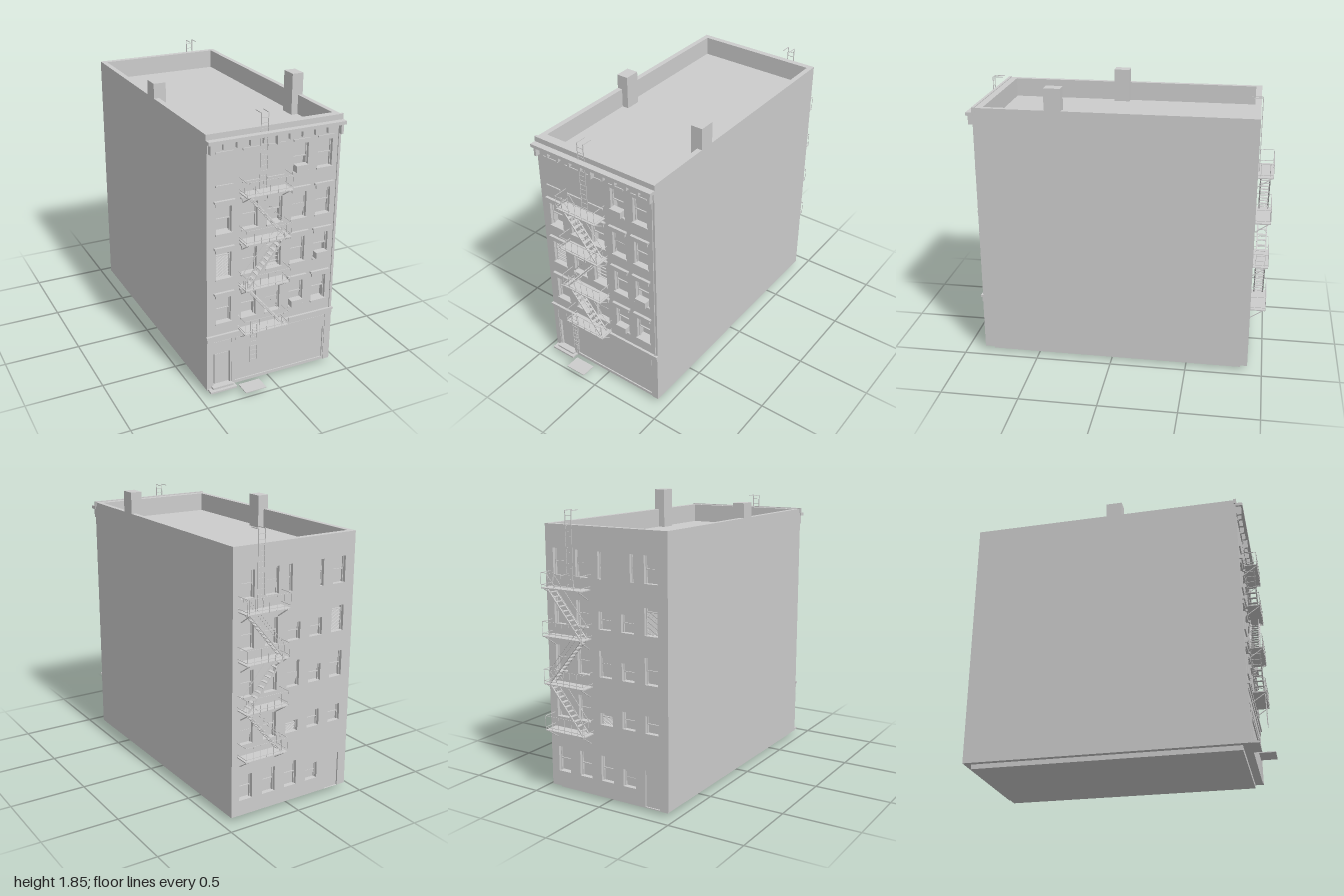
import * as THREE from 'three';

const stone = new THREE.MeshStandardMaterial({ color: 0xcccccc });
stone.name = 'light grey stone';

function box(parent, name, x0, x1, y0, y1, z0, z1) {
  const m = new THREE.Mesh(new THREE.BoxGeometry(x1 - x0, y1 - y0, z1 - z0), stone);
  m.position.set((x0 + x1) / 2, (y0 + y1) / 2, (z0 + z1) / 2);
  m.name = name;
  parent.add(m);
}

// square bar between two points
function bar(parent, name, a, b, t = 0.003) {
  const p = new THREE.Vector3(...a), q = new THREE.Vector3(...b);
  const m = new THREE.Mesh(new THREE.BoxGeometry(t, t, p.distanceTo(q)), stone);
  m.position.copy(p).add(q).multiplyScalar(0.5);
  m.lookAt(q);
  m.name = name;
  parent.add(m);
}

function group(parent, name) {
  const g = new THREE.Group();
  g.name = name;
  parent.add(g);
  return g;
}

// wall with openings; outer face at z = 0
function wall(parent, name, x0, x1, y0, y1, depth, holes) {
  const rect = (P, a, b, c, d) => new P().moveTo(a, c).lineTo(b, c).lineTo(b, d).lineTo(a, d).closePath();
  const shape = rect(THREE.Shape, x0, x1, y0, y1);
  for (const h of holes) shape.holes.push(rect(THREE.Path, ...h));
  const geo = new THREE.ExtrudeGeometry(shape, { depth, bevelEnabled: false });
  const m = new THREE.Mesh(geo, stone);
  m.position.z = -depth;
  m.name = name;
  parent.add(m);
}

// window types: 'sash', 'shade', 'open' (lower half raised), 'blind' (fine slats), 'louvre' (wide slats)
function sashWindow(parent, [x0, x1, y0, y1], kind) {
  const g = group(parent, 'window'), f = 0.005, mid = (y0 + y1) / 2, z = -0.02;
  box(g, 'windowFrameSide', x0, x0 + f, y0, y1, z - 0.012, z);
  box(g, 'windowFrameSide', x1 - f, x1, y0, y1, z - 0.012, z);
  box(g, 'windowFrameTop', x0, x1, y1 - f, y1, z - 0.012, z);
  if (kind === 'blind' || kind === 'louvre') {
    const step = kind === 'blind' ? 0.005 : 0.026;
    for (let y = y0 + 0.004; y < y1 - 0.03; y += step) {
      box(g, 'blindSlat', x0 + f, x1 - f, y, y + 0.0015, z - 0.012, z - 0.004);
    }
    box(g, 'blindHeader', x0, x1, y1 - 0.03, y1 - 0.024, z - 0.012, z);
    return;
  }
  box(g, 'meetingRail', x0, x1, mid - 0.003, mid + 0.003, z - 0.012, z);
  box(g, 'upperPane', x0, x1, mid, y1, z - 0.012, z - 0.008);
  if (kind !== 'open') box(g, 'lowerPane', x0, x1, y0, mid, z - 0.016, z - 0.012);
  if (kind === 'shade') box(g, 'rollerShade', x0 + f, x1 - f, y0 + 0.03, y1 - f, z - 0.006, z - 0.003);
}

// platforms, stairs and ladders; wall at z = 0
function fireEscape(parent, dropLadder) {
  const g = group(parent, 'fireEscape');
  const x0 = -0.235, x1 = 0.065, zOut = 0.096;
  const levels = [0.425, 0.725, 1.025, 1.325];
  levels.forEach((y, i) => {
    box(g, 'platform', x0, x1, y - 0.003, y + 0.003, 0, zOut);
    for (const h of [0.02, 0.093]) {
      bar(g, 'rail', [x0, y + h, zOut], [x1, y + h, zOut]);
      for (const x of [x0, x1]) bar(g, 'sideRail', [x, y + h, 0], [x, y + h, zOut]);
    }
    for (let k = 0; k <= 6; k++) {
      const x = x0 + (x1 - x0) * k / 6;
      bar(g, 'railPost', [x, y, zOut], [x, y + 0.093, zOut], 0.002);
    }
    for (const x of [-0.215, 0.045]) bar(g, 'brace', [x, y, zOut], [x, y - 0.065, 0], 0.005);
    if (i === 3) return;
    // stair flight up to the next platform
    const s = i % 2 ? 1 : -1, a = -0.085 - s * 0.125, b = -0.085 + s * 0.125;
    for (const z of [0.018, 0.075]) {
      bar(g, 'stairStringer', [a, y, z], [b, y + 0.3, z], 0.008);
      bar(g, 'stairHandrail', [a, y + 0.085, z], [b, y + 0.385, z]);
      bar(g, 'newelPost', [a, y, z], [a, y + 0.085, z]);
      bar(g, 'newelPost', [b, y + 0.3, z], [b, y + 0.385, z]);
    }
    for (let k = 1; k < 11; k++) {
      const x = a + (b - a) * k / 11, ty = y + 0.3 * k / 11;
      box(g, 'stairTread', x - 0.011, x + 0.011, ty - 0.001, ty + 0.002, 0.018, 0.075);
    }
  });
  const ladder = (name, xa, xb, ya, yb, z) => {
    const l = group(g, name);
    for (const x of [xa, xb]) bar(l, 'ladderSide', [x, ya, z], [x, yb, z], 0.004);
    for (let y = ya + 0.02; y < yb - 0.01; y += 0.032) bar(l, 'rung', [xa, y, z], [xb, y, z]);
    return l;
  };
  // roof ladder reaches back over the parapet
  const roof = ladder('roofLadder', -0.108, -0.062, 1.325, 1.79, 0.008);
  for (const x of [-0.108, -0.062]) bar(roof, 'ladderHook', [x, 1.79, 0.008], [x, 1.79, -0.06], 0.004);
  if (dropLadder) ladder('dropLadder', -0.195, -0.15, 0.22, 0.52, 0.09);
  return g;
}

export function createModel() {
  const model = new THREE.Group();
  model.name = 'apartmentBuilding';
  const L = -0.445, R = 0.437;

  // main mass, parapets and roof
  box(model, 'plinth', -0.41, 0.405, 0, 0.03, -0.86, 0.82);
  box(model, 'coreAndRoof', -0.412, 0.406, 0.03, 1.58, -0.865, 0.81);
  box(model, 'rightSideWall', L, -0.41, 0.03, 1.705, -0.905, 0.87);
  box(model, 'leftSideWall', 0.404, R, 0.03, 1.705, -0.905, 0.87);
  box(model, 'chimney', L, -0.365, 1.57, 1.8, 0, 0.105);
  box(model, 'tallChimney', 0.36, R, 1.57, 1.845, 0.31, 0.415);

  const cols = [-0.335, -0.165, 0, 0.165, 0.33];
  const rows = [0.495, 0.795, 1.09, 1.395];
  const kinds = ['sash', 'open', 'shade', 'sash', 'open'];

  // front wall, windows and trim
  const front = group(model, 'frontFacade');
  front.position.z = 0.87;
  const door = [-0.4, -0.287, 0.05, 0.28], shop = [-0.25, 0.382, 0.05, 0.28];
  const holes = [door, shop];
  rows.forEach((y, r) => cols.forEach((x, c) => {
    box(front, 'sill', x - 0.056, x + 0.056, y - 0.01, y, 0, 0.009);
    if (r === 3) box(front, 'topLintel', x - 0.055, x + 0.055, y + 0.19, y + 0.202, 0, 0.009);
    if (r === 3 && c < 3) return;
    const o = [x - 0.05, x + 0.05, y, y + 0.17];
    holes.push(o);
    const slats = r === 1 && { 0: 'blind', 2: 'louvre' }[c];
    sashWindow(front, o, slats || kinds[(r * 2 + c) % 5]);
    if (r === 3) return;
    box(front, 'lintel', x - 0.055, x + 0.055, y + 0.172, y + 0.198, 0, 0.01);
    box(front, 'lintelCap', x - 0.066, x + 0.066, y + 0.198, y + 0.21, 0, 0.018);
  }));
  wall(front, 'frontWall', -0.41, 0.404, 0.03, 1.705, 0.06, holes);
  for (const [c, r] of [[3, 0], [4, 1], [3, 3]]) {
    box(front, 'airConditioner', cols[c] - 0.04, cols[c] + 0.04, rows[r], rows[r] + 0.042, -0.02, 0.026);
  }

  // street floor
  box(front, 'shopPanel', -0.25, 0.382, 0.05, 0.28, -0.03, -0.008);
  box(front, 'shopSign', -0.25, 0.39, 0.308, 0.365, 0, 0.003);
  box(front, 'doorPanel', -0.39, -0.297, 0.06, 0.272, -0.03, -0.008);
  box(front, 'doorBack', -0.4, -0.287, 0.05, 0.28, -0.04, -0.02);
  box(front, 'doorHeader', -0.405, -0.28, 0.308, 0.365, 0, 0.003);
  for (const [a, b] of [[L, -0.408], [-0.278, -0.26], [0.392, R]]) box(front, 'pilaster', a, b, 0.03, 0.37, 0, 0.004);
  box(front, 'beltCourse', L, R, 0.37, 0.4, 0, 0.008);
  box(front, 'beltCap', -0.45, 0.441, 0.4, 0.415, 0, 0.016);
  box(front, 'doorStep', -0.44, -0.26, 0.03, 0.042, 0, 0.05);
  box(front, 'doorStepTop', -0.415, -0.275, 0.042, 0.055, 0, 0.03);
  box(front, 'cellarHatch', -0.24, -0.095, 0.03, 0.035, 0.03, 0.13);
  bar(front, 'drainPipe', [0.42, 0.415, 0.003], [0.42, 1.62, 0.003], 0.007);

  // cornice with brackets
  box(front, 'corniceFrieze', L, R, 1.598, 1.655, 0, 0.004);
  box(front, 'corniceShelf', -0.452, 0.443, 1.655, 1.676, 0, 0.044);
  box(front, 'parapetCap', -0.452, 0.443, 1.676, 1.71, -0.014, 0.004);
  for (let i = 0; i < 11; i++) {
    const x = -0.43 + i * 0.0852, big = i % 5 === 0;
    box(front, 'corniceBracket', x - 0.008, x + 0.008, big ? 1.595 : 1.612, 1.655, 0, big ? 0.034 : 0.026);
  }
  fireEscape(front, true);

  // rear wall, turned to face backwards
  const back = group(model, 'rearFacade');
  back.rotation.y = Math.PI;
  back.position.z = -0.905;
  const rearDoor = [0.28, 0.385, 0.03, 0.265], rearHoles = [];
  [0.13, ...rows].forEach((y, r) => cols.forEach((col, c) => {
    if (r === 0 && c === 4) return;
    const narrow = r === 4 && (c === 2 || c === 3);
    const short = c === 3 && r < 4 || c === 2 && r === 3 || c === 4 && r === 1;
    const x = narrow ? col + (c === 2 ? -0.033 : 0.033) : col;
    const w = narrow ? 0.012 : 0.046;
    const blind = (r === 3 && c === 4) || (r === 1 && c === 2);
    const h = blind && r === 1 ? 0.075 : short ? 0.11 : 0.165;
    const o = [x - w, x + w, y, y + h];
    rearHoles.push(o);
    sashWindow(back, o, blind ? 'blind' : kinds[(r + c * 2 + 1) % 5]);
  }));
  wall(back, 'rearWall', -0.404, 0.41, 0.03, 1.705, 0.04, [...rearHoles, rearDoor]);
  box(back, 'rearDoor', 0.28, 0.385, 0.03, 0.265, -0.03, -0.01);
  fireEscape(back, false).position.x = -0.165;

  return model;
}
